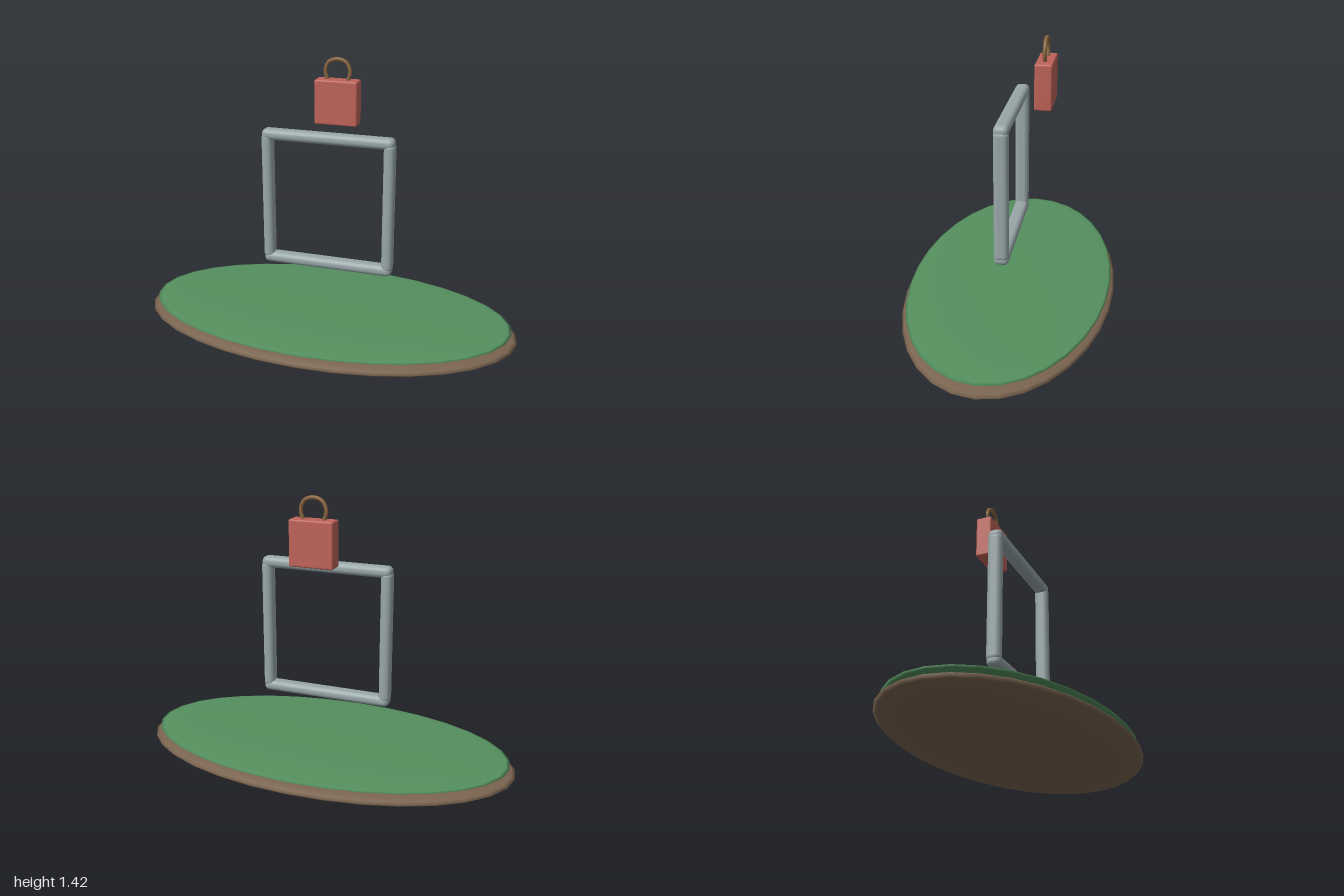
import * as THREE from 'three';
import { RoundedBoxGeometry } from 'three/addons/geometries/RoundedBoxGeometry.js';

const material = (color) => new THREE.MeshStandardMaterial({ color });

function addMesh(parent, name, geometry, mat, x, y, z) {
  const mesh = new THREE.Mesh(geometry, mat);
  mesh.name = name;
  mesh.position.set(x, y, z);
  parent.add(mesh);
  return mesh;
}

export function createModel() {
  const model = new THREE.Group();
  model.name = 'floatingFrameIsland';

  // Flattened oval base: soil with a thin grass cap
  const disc = (rx, ry, rz) => new THREE.SphereGeometry(1, 32, 16).scale(rx, ry, rz);
  addMesh(model, 'soilDisc', disc(1, 0.057, 0.545), material(0x7a6450), 0, 0.057, 0);
  addMesh(model, 'grassDisc', disc(0.97, 0.018, 0.525), material(0x55905f), 0, 0.105, 0);

  // Square frame of rounded bars
  const frame = new THREE.Group();
  frame.name = 'frame';
  model.add(frame);
  const metal = material(0x98a6a8);
  const rail = new RoundedBoxGeometry(0.69, 0.057, 0.074, 4, 0.026);
  const post = new RoundedBoxGeometry(0.057, 0.68, 0.074, 4, 0.026);
  for (const side of [-1, 1]) {
    addMesh(frame, side > 0 ? 'topRail' : 'bottomRail', rail, metal, 0, 0.71 + side * 0.336, 0);
    addMesh(frame, side > 0 ? 'leftPost' : 'rightPost', post, metal, side * 0.32, 0.71, 0);
  }

  // Small bag hovering behind the frame
  const bag = new THREE.Group();
  bag.name = 'bag';
  bag.position.set(0, 1.195, -0.165);
  model.add(bag);
  addMesh(bag, 'bagBody', new RoundedBoxGeometry(0.226, 0.23, 0.086, 3, 0.009), material(0xbf6358), 0, 0, 0);

  // Arched carrying handle
  const arch = [[-0.052, 0.105], [-0.065, 0.16], [-0.045, 0.203], [0, 0.218],
    [0.045, 0.203], [0.065, 0.16], [0.052, 0.105]];
  const path = new THREE.CatmullRomCurve3(arch.map(([x, y]) => new THREE.Vector3(x, y, 0)));
  addMesh(bag, 'bagHandle', new THREE.TubeGeometry(path, 32, 0.01, 8), material(0x8a6540), 0, 0, 0);

  return model;
}
